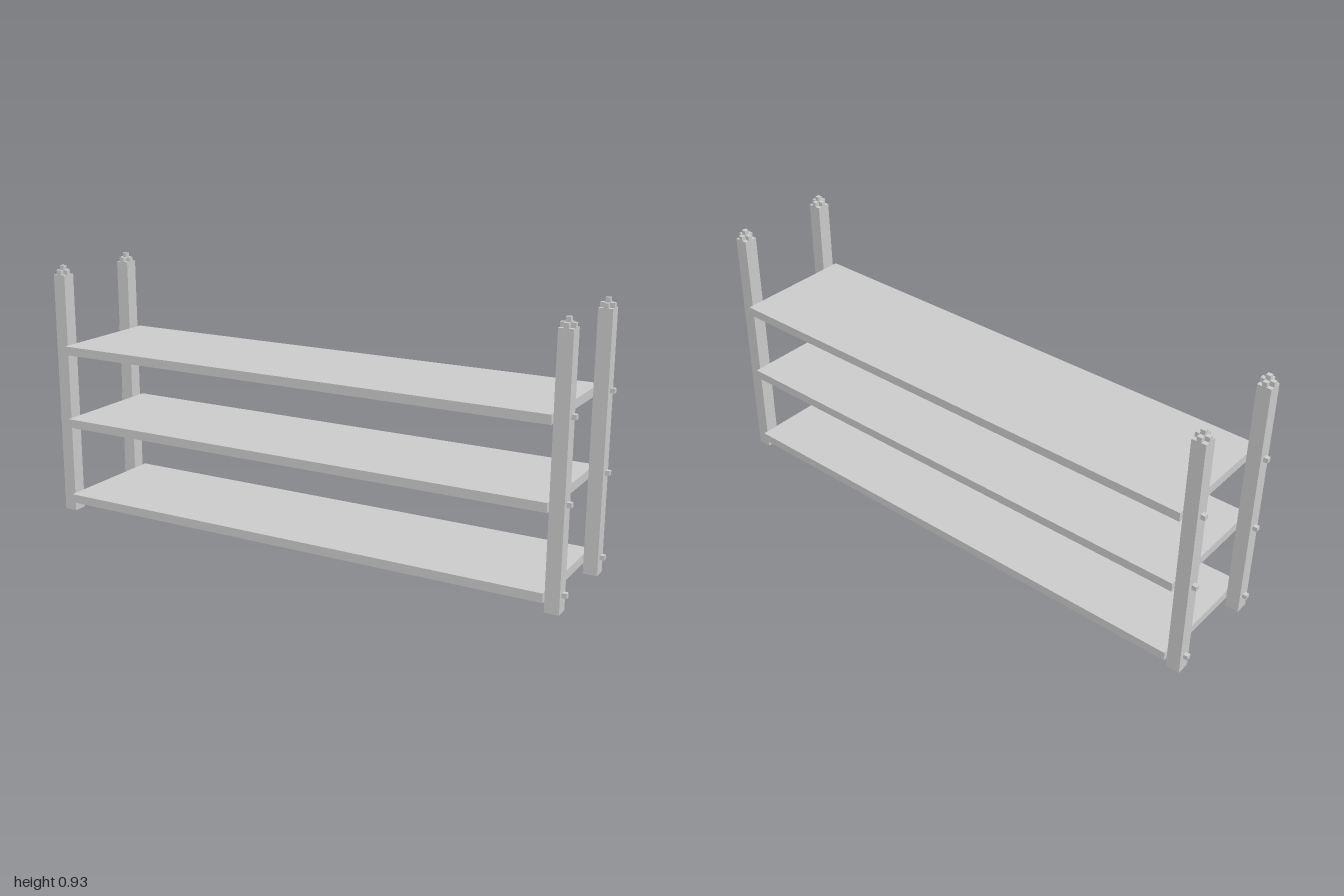
import * as THREE from 'three';

const material = new THREE.MeshStandardMaterial({ color: 0xcccccc, flatShading: true });

// Box given by its size and centre
function box(name, [w, h, d], [x, y, z]) {
  const mesh = new THREE.Mesh(new THREE.BoxGeometry(w, h, d), material);
  mesh.position.set(x, y, z);
  mesh.name = name;
  return mesh;
}

export function createModel() {
  const model = new THREE.Group();
  model.name = 'shelfRack';

  const unit = 0.0164;          // peg thickness
  const post = 3 * unit;        // post thickness
  const postTop = 0.898;
  const postX = 0.984 - post / 2;
  const postZ = 0.182;
  const shelfTops = [0.069, 0.363, 0.639];
  const shelfThickness = 0.032;

  // Shelves
  for (const top of shelfTops) {
    model.add(box('shelf', [2 * (0.984 - post), shelfThickness, 0.446], [0, top - shelfThickness / 2, 0]));
  }

  // Corner posts with stepped finials and side pegs
  for (const sx of [-1, 1]) {
    for (const sz of [-1, 1]) {
      const corner = new THREE.Group();
      corner.name = (sz > 0 ? 'front' : 'back') + (sx > 0 ? 'Left' : 'Right') + 'Post';
      const x = sx * postX, z = sz * postZ;
      corner.add(box('post', [post, postTop, post], [x, postTop / 2, z]));

      // Cross-shaped finial with a small tip
      const crossY = postTop + unit / 2;
      corner.add(box('finialTip', [unit, 2 * unit, unit], [x, postTop + unit, z]));
      for (const s of [-1, 1]) {
        corner.add(box('finialArm', [unit, unit, unit], [x + s * unit, crossY, z]));
        corner.add(box('finialArm', [unit, unit, unit], [x, crossY, z + s * unit]));
      }

      // Pegs on the outer face, level with each shelf
      for (const top of shelfTops) {
        corner.add(box('peg', [unit, unit, unit], [sx * (1 - unit / 2), top - unit / 2, z]));
      }
      model.add(corner);
    }
  }
  return model;
}
